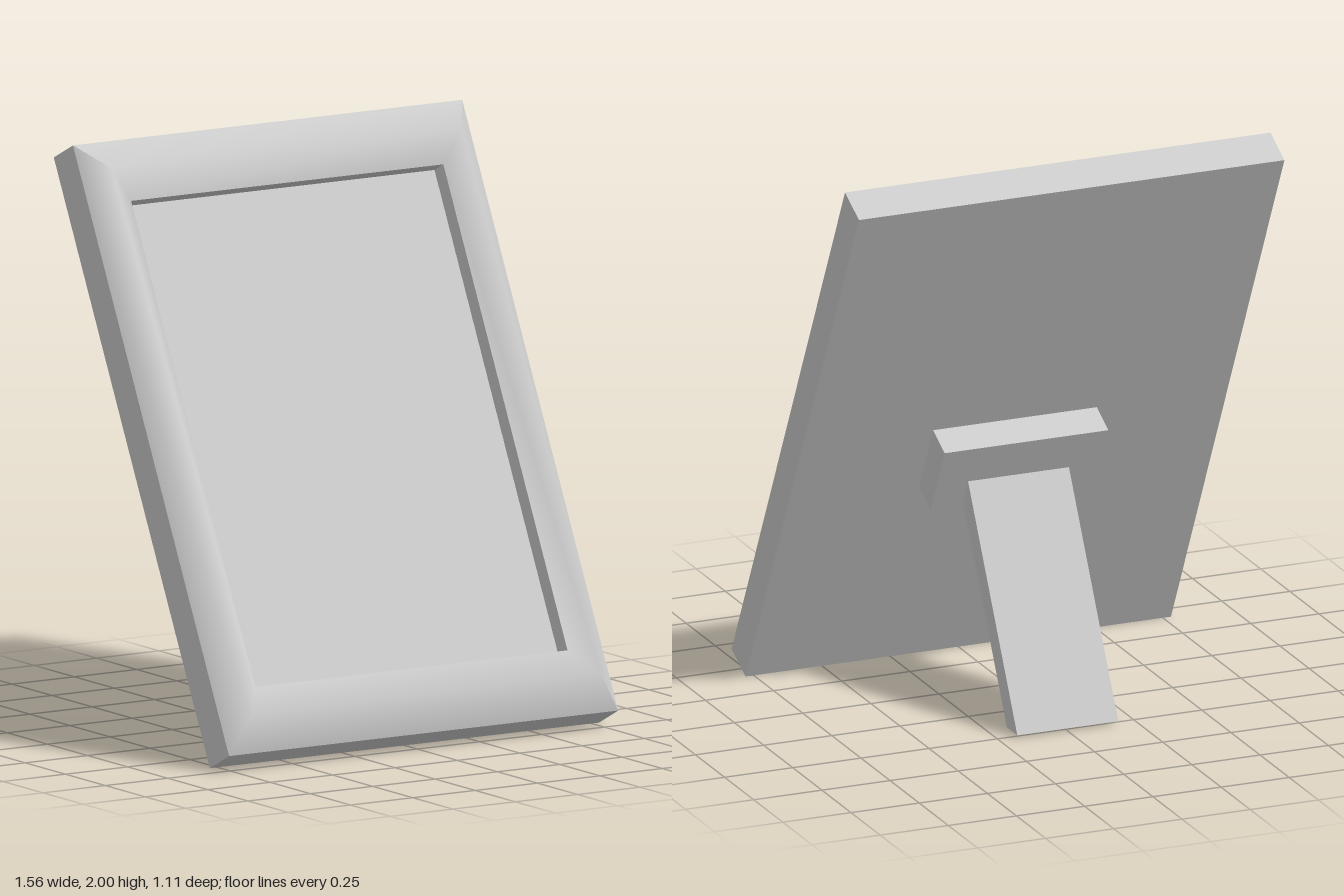
import * as THREE from 'three';

const W = 1.56, H = 2.173; // frame size in its own plane
const material = new THREE.MeshStandardMaterial({ color: 0xcccccc });

function addMesh(parent, name, geometry, x = 0, y = 0, z = 0) {
  const mesh = new THREE.Mesh(geometry, material);
  mesh.name = name;
  mesh.position.set(x, y, z);
  parent.add(mesh);
  return mesh;
}

// Lofts rectangular rings [inset, depth]; rings marked sharp get separate vertices per side
function mouldingGeometry(bands) {
  const positions = [], index = [];
  const corner = (k, inset, z) => {
    const sx = k === 1 || k === 2 ? 1 : -1, top = k >= 2;
    positions.push(sx * (W / 2 - 0.695 * inset), top ? H - inset : inset, z);
    return positions.length / 3 - 1;
  };
  const ring = ([inset, z, sharp]) => {
    const sides = [0, 1, 2, 3];
    if (sharp) return sides.map(k => [corner(k, inset, z), corner((k + 1) % 4, inset, z)]);
    const shared = sides.map(k => corner(k, inset, z));
    return sides.map(k => [shared[k], shared[(k + 1) % 4]]);
  };
  for (const band of bands) {
    const rings = band.map(ring);
    for (let r = 0; r + 1 < rings.length; r++) {
      for (let k = 0; k < 4; k++) {
        const [a, b] = rings[r][k], [d, c] = rings[r + 1][k];
        index.push(a, b, c, a, c, d);
      }
    }
  }
  const geometry = new THREE.BufferGeometry();
  geometry.setAttribute('position', new THREE.Float32BufferAttribute(positions, 3));
  geometry.setIndex(index);
  geometry.computeVertexNormals();
  return geometry;
}

export function createModel() {
  const model = new THREE.Group();
  model.name = 'pictureFrame';

  // Everything that leans back with the frame
  const leaning = new THREE.Group();
  leaning.name = 'leaningFrame';
  leaning.rotation.x = -0.4645;
  leaning.position.z = 0.42;
  model.add(leaning);

  // Mitred moulding: outer wall, smooth ridge, inner wall of the opening
  addMesh(leaning, 'moulding', mouldingGeometry([
    [[0, 0, true], [0, 0.134, true]],
    [[0, 0.134, true], [0.115, 0.21], [0.222, 0.16]],
    [[0.222, 0.16, true], [0.222, 0.098, true]],
  ]));

  // Picture panel and back board
  addMesh(leaning, 'picturePanel', new THREE.PlaneGeometry(W - 0.309, H - 0.444), 0, H / 2, 0.098);
  addMesh(leaning, 'backBoard', new THREE.PlaneGeometry(W, H), 0, H / 2, 0).rotation.y = Math.PI;

  // Block that holds the leg
  addMesh(leaning, 'hingeBlock', new THREE.BoxGeometry(0.6, 0.268, 0.112), 0, 0.951, -0.056);

  // Slanted leg: side outline (z, y) extruded across x
  const legWidth = 0.37;
  const outline = new THREE.Shape([[-0.095, 0.785], [-0.52, 0.01], [-0.43, 0.01], [-0.055, 0.695]]
    .map(([z, y]) => new THREE.Vector2(-z, y)));
  const leg = new THREE.ExtrudeGeometry(outline, { depth: legWidth, bevelEnabled: false });
  leg.translate(0, 0, -legWidth / 2);
  leg.rotateY(Math.PI / 2);
  addMesh(model, 'supportLeg', leg);

  return model;
}
